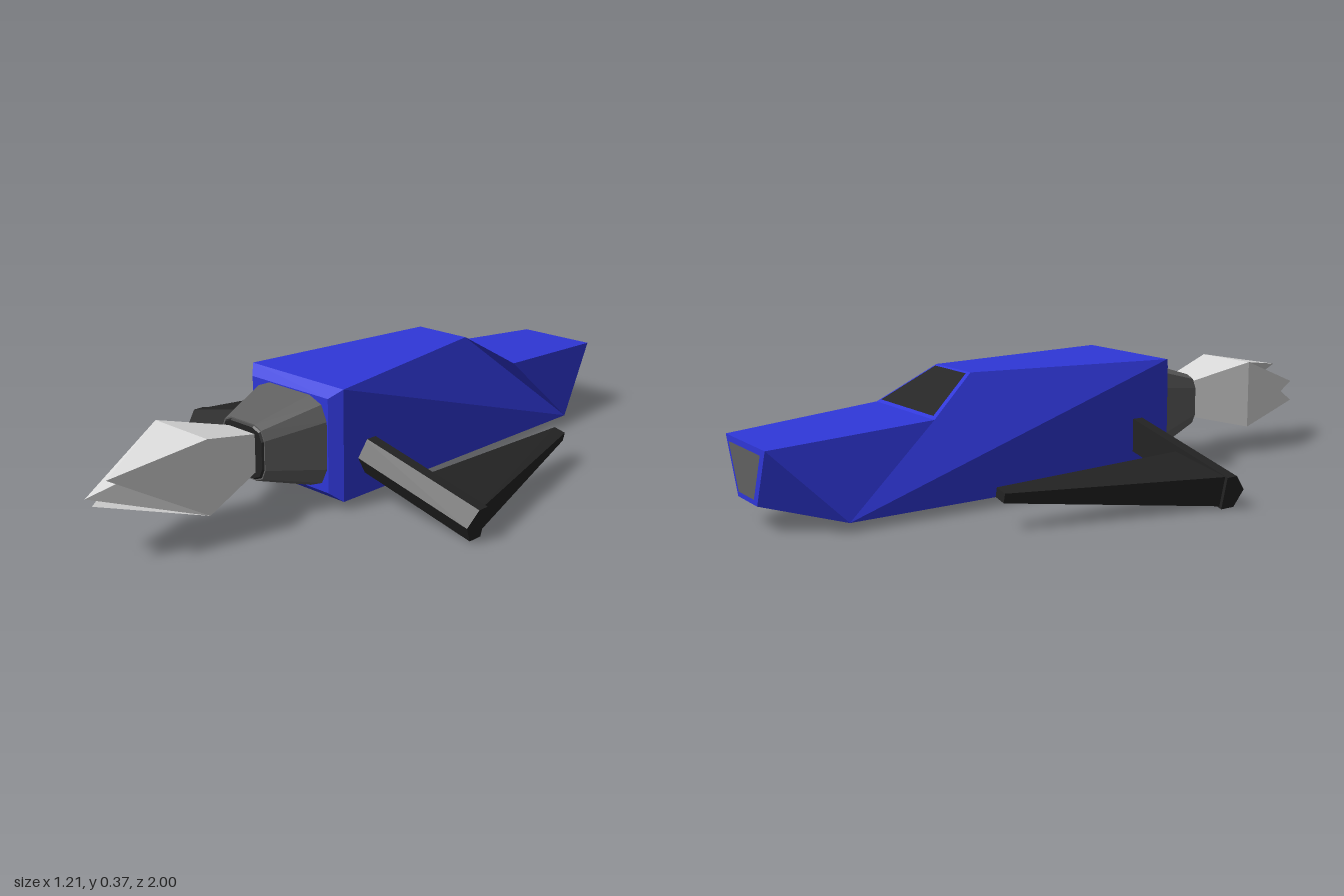
import * as THREE from 'three';
import { ConvexGeometry } from 'three/addons/geometries/ConvexGeometry.js';

const paint = (name, color) => {
  const m = new THREE.MeshStandardMaterial({ color });
  m.name = name;
  return m;
};
const V = (x, y, z) => new THREE.Vector3(x, y, z);
const mirror = (p) => V(-p.x, p.y, p.z);

export function createModel() {
  const blue = paint('hull blue', 0x2f37d8);
  const black = paint('matte black', 0x232323);
  const grey = paint('engine grey', 0x606060);
  const silver = paint('flame silver', 0xdadada);
  const group = new THREE.Group();

  const add = (name, geometry, material) => {
    const mesh = new THREE.Mesh(geometry, material);
    mesh.name = name;
    group.add(mesh);
  };
  const solid = (name, points, material) => add(name, new ConvexGeometry(points), material);
  const faces = (triangles) => {
    const g = new THREE.BufferGeometry().setFromPoints(triangles.flat());
    g.computeVertexNormals();
    return g;
  };
  const rect = (hx, y0, y1, z) => [V(-hx, y0, z), V(hx, y0, z), V(hx, y1, z), V(-hx, y1, z)];

  // Hull: one half outline, mirrored across x
  const rearTop = V(0.19, 0.363, 0.27), roof = V(0.095, 0.37, -0.37);
  const cowl = V(0.168, 0.265, -0.53), noseTop = V(0.133, 0.234, -1);
  const noseLow = V(0.065, 0.075, -1), chin = V(0.19, 0.027, -0.8), rearLow = V(0.19, 0.027, 0.27);
  const outline = [rearTop, roof, cowl, noseTop, noseLow, chin, rearLow];
  const tris = [];
  for (const t of [[rearTop, rearLow, chin], [rearTop, chin, roof], [roof, chin, cowl],
    [cowl, chin, noseTop], [noseTop, chin, noseLow]]) {
    tris.push(t, t.map(mirror).reverse());
  }
  outline.forEach((p, i) => {
    const q = outline[(i + 1) % outline.length];
    tris.push([p, q, mirror(q)], [p, mirror(q), mirror(p)]);
  });
  add('hull', faces(tris), blue);
  solid('rearBevel', [...rect(0.19, 0.027, 0.363, 0.27), ...rect(0.158, 0.053, 0.335, 0.3)], blue);

  // Thin panels set just proud of the windshield and nose faces
  const panel = (name, p, q, inset, material) => {
    const quad = [p, q, mirror(q), mirror(p)];
    const mid = quad.reduce((a, b) => a.clone().add(b), V(0, 0, 0)).divideScalar(4);
    const n = q.clone().sub(p).cross(V(-1, 0, 0)).normalize().multiplyScalar(0.003);
    const [a, b, c, d] = quad.map((k) => k.clone().lerp(mid, inset).add(n));
    add(name, faces([[a, b, c], [a, c, d]]), material);
  };
  panel('windshield', roof, cowl, 0.1, black);
  panel('noseIntake', noseTop, noseLow, 0.2, grey);

  // Engine: tapered twelve-sided nozzle
  const ring = (hx, hy, z) => {
    const pts = [];
    for (const [x, y] of [[0.55, 1], [0.86, 0.86], [1, 0.52]])
      for (const sx of [-1, 1]) for (const sy of [-1, 1]) pts.push(V(sx * x * hx, 0.195 + sy * y * hy, z));
    return pts;
  };
  solid('engineNozzle', [...ring(0.155, 0.138, 0.295), ...ring(0.09, 0.083, 0.476)], grey);
  solid('nozzleMouth', [...ring(0.088, 0.081, 0.474), ...ring(0.082, 0.075, 0.481)], black);

  // Exhaust flame: flared root and three overlapping spikes
  const flare = rect(0.11, 0.09, 0.306, 0.69);
  solid('flameRoot', [...rect(0.052, 0.143, 0.25, 0.47), ...flare], silver);
  const [bl, br, tr, tl] = flare;
  solid('flameSpikeMiddle', [...flare, V(0, 0.198, 1)], silver);
  solid('flameSpikeUpper', [tl, tr, br, V(0.055, 0.255, 0.97)], silver);
  solid('flameSpikeLower', [tl, bl, br, V(-0.055, 0.145, 0.945)], silver);

  // Drooping arms, each with a forward-pointing prong
  const c = Math.cos(0.23), s = Math.sin(0.23);
  for (const [label, side] of [['left', 1], ['right', -1]]) {
    const at = (u, v, z) => V(side * (0.19 + u * c + v * s), 0.145 - u * s + v * c, z);
    const arm = [];
    for (const u of [-0.05, 0.416])
      for (const [z, v] of [[0.14, 0.047], [0.175, 0.047], [0.212, 0], [0.185, -0.05], [0.14, -0.05]])
        arm.push(at(u, v, z));
    solid(label + 'WingArm', arm, black);
    const prong = [];
    for (const [u, v, z] of [[0.195, 0.03, 0.15], [0.416, 0.047, 0.175], [0.195, 0.014, -0.47], [0.235, 0.014, -0.47]])
      prong.push(at(u, v, z), at(u, -v, z));
    solid(label + 'WingProng', prong, black);
  }
  return group;
}
